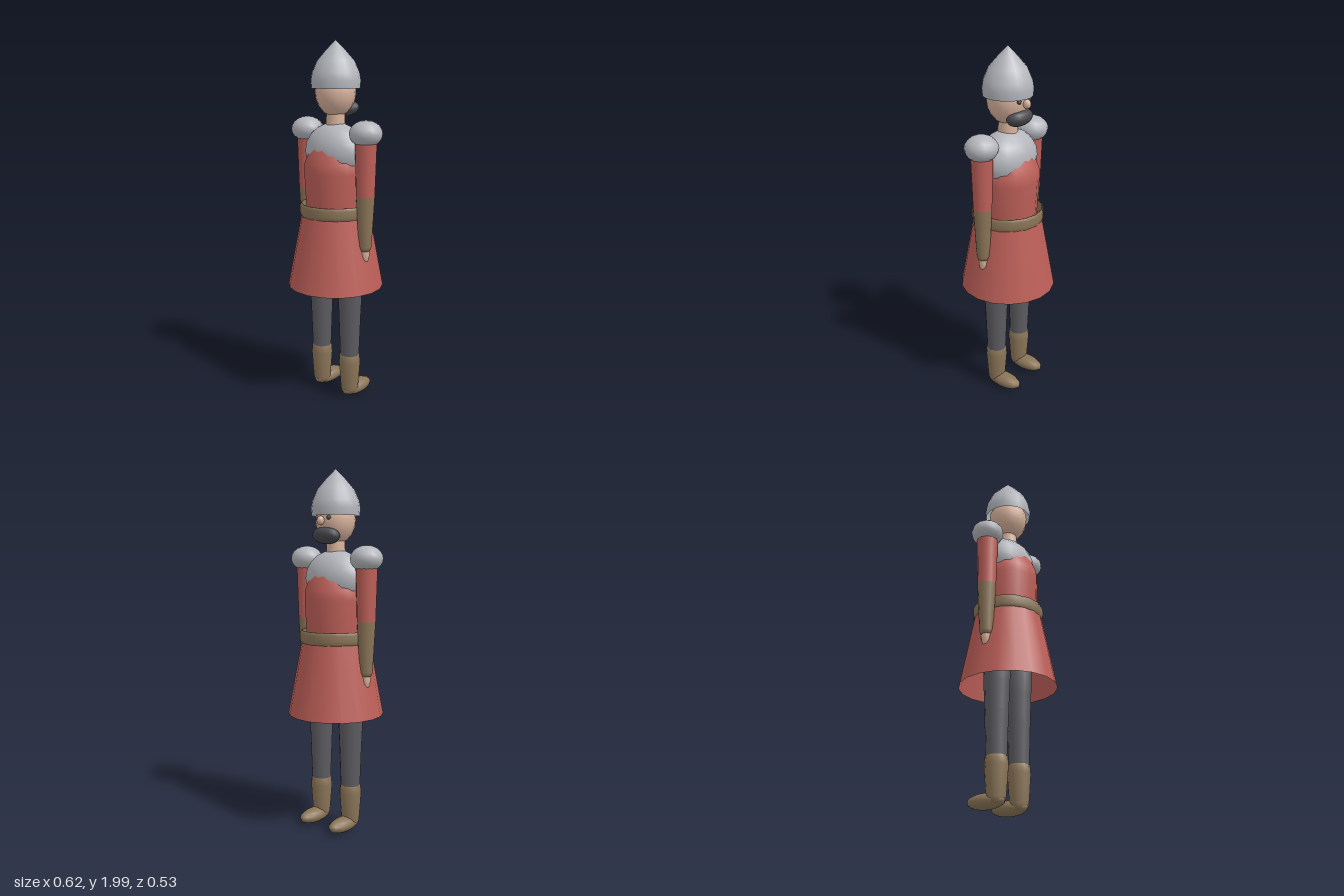
import * as THREE from 'three';

const mat = (name, color, side = THREE.FrontSide) => {
  const m = new THREE.MeshStandardMaterial({ color, side });
  m.name = name;
  return m;
};

export function createModel() {
  const model = new THREE.Group();
  model.name = 'soldier';

  const red = mat('red cloth', 0xbd5f58, THREE.DoubleSide);
  const metal = mat('steel', 0xb4b6bc, THREE.DoubleSide);
  const leather = mat('brown leather', 0x8b7558, THREE.DoubleSide);
  const trousers = mat('dark trousers', 0x5c5b60);
  const skin = mat('skin', 0xd8b29c);
  const hair = mat('dark hair', 0x4a494e);

  const add = (name, geometry, material, x = 0, y = 0, z = 0) => {
    const mesh = new THREE.Mesh(geometry, material);
    mesh.name = name;
    mesh.position.set(x, y, z);
    model.add(mesh);
    return mesh;
  };
  // Turned part: profile of [radius, height] from bottom to top
  const turned = (name, profile, material, segments = 14, x = 0, z = 0) =>
    add(name, new THREE.LatheGeometry(
      profile.map(([r, y]) => new THREE.Vector2(r, y)), segments, Math.PI / 2), material, x, 0, z);
  // Ellipsoid part
  const ball = (name, [rx, ry, rz], material, x, y, z, segments = 14) =>
    add(name, new THREE.SphereGeometry(1, segments, 10).scale(rx, ry, rz), material, x, y, z);

  // Tunic and skirt
  turned('tunic', [[0, 1.0], [0.15, 1.0], [0.163, 1.12], [0.172, 1.3], [0.17, 1.35],
    [0.143, 1.42], [0.115, 1.465], [0.05, 1.52], [0, 1.53]], red);
  turned('skirt', [[0.267, 0.66], [0.188, 1.075]], red, 18);

  // Belt: a thin closed band
  turned('belt', [[0.188, 1.06], [0.193, 1.062], [0.198, 1.08], [0.198, 1.115],
    [0.193, 1.13], [0.188, 1.13], [0.188, 1.06]], leather, 16);

  // Shoulder plate
  ball('breastplate', [0.19, 0.155, 0.14], metal, 0, 1.415, 0, 16);

  // Head, facing -z
  turned('neck', [[0.055, 1.52], [0.05, 1.66]], skin, 12);
  ball('head', [0.107, 0.132, 0.114], skin, 0, 1.73, 0, 16);
  ball('nose', [0.02, 0.025, 0.022], skin, 0, 1.722, -0.122, 10);
  const beard = ball('beard', [0.088, 0.045, 0.058], hair, 0, 1.645, -0.077);
  beard.rotation.x = 0.35;
  turned('helmet', [[0.131, 1.75], [0.135, 1.79], [0.128, 1.83], [0.101, 1.892],
    [0.052, 1.948], [0, 2]], metal, 18);

  for (const s of [1, -1]) {
    const side = s > 0 ? 'left' : 'right';
    ball(side + 'Eye', [0.012, 0.012, 0.012], hair, s * 0.042, 1.738, -0.104, 8);

    // Arm
    const armX = s * 0.218;
    ball(side + 'ShoulderGuard', [0.09, 0.07, 0.09], metal, armX, 1.522, 0);
    turned(side + 'Sleeve', [[0.051, 1.19], [0.06, 1.5]], red, 12, armX);
    turned(side + 'Bracer', [[0, 0.89], [0.028, 0.893], [0.036, 0.915], [0.051, 1.19]],
      leather, 12, armX);
    ball(side + 'Hand', [0.026, 0.065, 0.027], skin, armX, 0.885, 0, 10);

    // Leg and boot
    const legX = s * 0.11;
    turned(side + 'Leg', [[0.053, 0.22], [0.063, 0.5], [0.07, 0.66], [0.08, 0.95], [0, 1.0]],
      trousers, 12, legX);
    turned(side + 'BootShaft', [[0, 0.03], [0.04, 0.03], [0.05, 0.06], [0.062, 0.22],
      [0.058, 0.265], [0.05, 0.265]], leather, 12, legX);
    ball(side + 'Foot', [0.052, 0.042, 0.112], leather, legX, 0.048, -0.058, 12);
  }

  return model;
}
